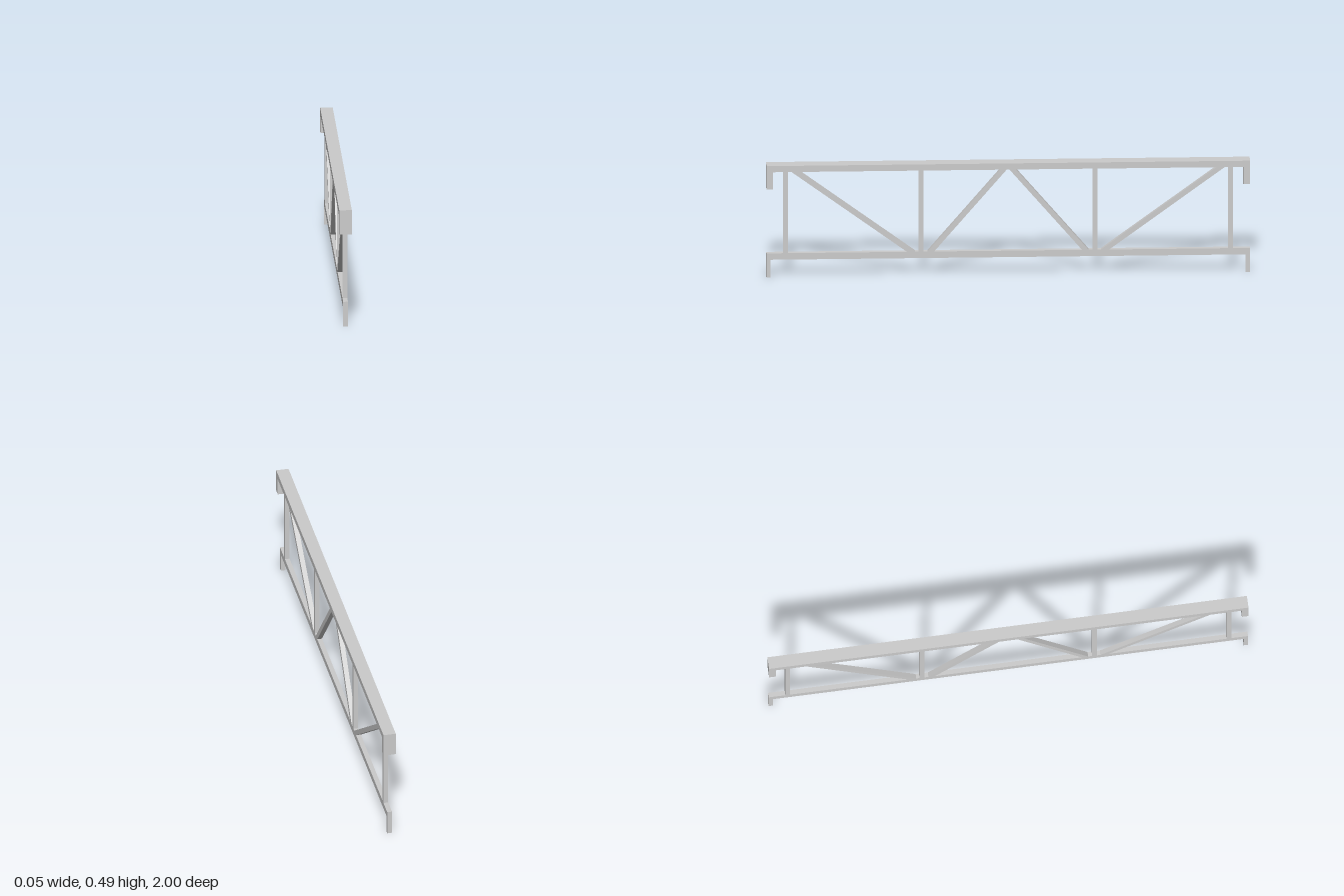
import * as THREE from 'three';

const material = new THREE.MeshStandardMaterial({ color: 0xcccccc, flatShading: true });

// Flat member: outline given as [z, y] points, extruded across x and centred
function member(name, points, width) {
  const shape = new THREE.Shape(points.map(([z, y]) => new THREE.Vector2(z, y)));
  const geometry = new THREE.ExtrudeGeometry(shape, { depth: width, bevelEnabled: false });
  geometry.translate(0, 0, -width / 2).rotateY(-Math.PI / 2);
  const mesh = new THREE.Mesh(geometry, material);
  mesh.name = name;
  return mesh;
}

// Rail with both ends turned down
function rail(name, top, under, foot, lip, width) {
  return member(name, [
    [-1, foot], [-1 + lip, foot], [-1 + lip, under], [1 - lip, under],
    [1 - lip, foot], [1, foot], [1, top], [-1, top],
  ], width);
}

export function createModel() {
  const group = new THREE.Group();
  group.name = 'trussGirder';

  const webWidth = 0.02;
  const low = 0.105, high = 0.465; // web runs between the rails

  group.add(rail('topRail', 0.492, high, 0.39, 0.028, 0.052));
  group.add(rail('bottomRail', low, 0.077, 0, 0.018, webWidth));

  // Web members: z range at the bottom, then z range at the top
  const web = [
    ['endPost', 0.91, 0.93, 0.91, 0.93],
    ['innerPost', 0.35, 0.37, 0.35, 0.37],
    ['outerDiagonal', 0.384, 0.418, 0.869, 0.903],
    ['innerDiagonal', 0.306, 0.333, 0.001, 0.028],
  ];
  for (const [side, s] of [['Front', 1], ['Back', -1]]) {
    for (const [name, b0, b1, t0, t1] of web) {
      group.add(member(name + side,
        [[s * b0, low], [s * b1, low], [s * t1, high], [s * t0, high]], webWidth));
    }
  }
  return group;
}
